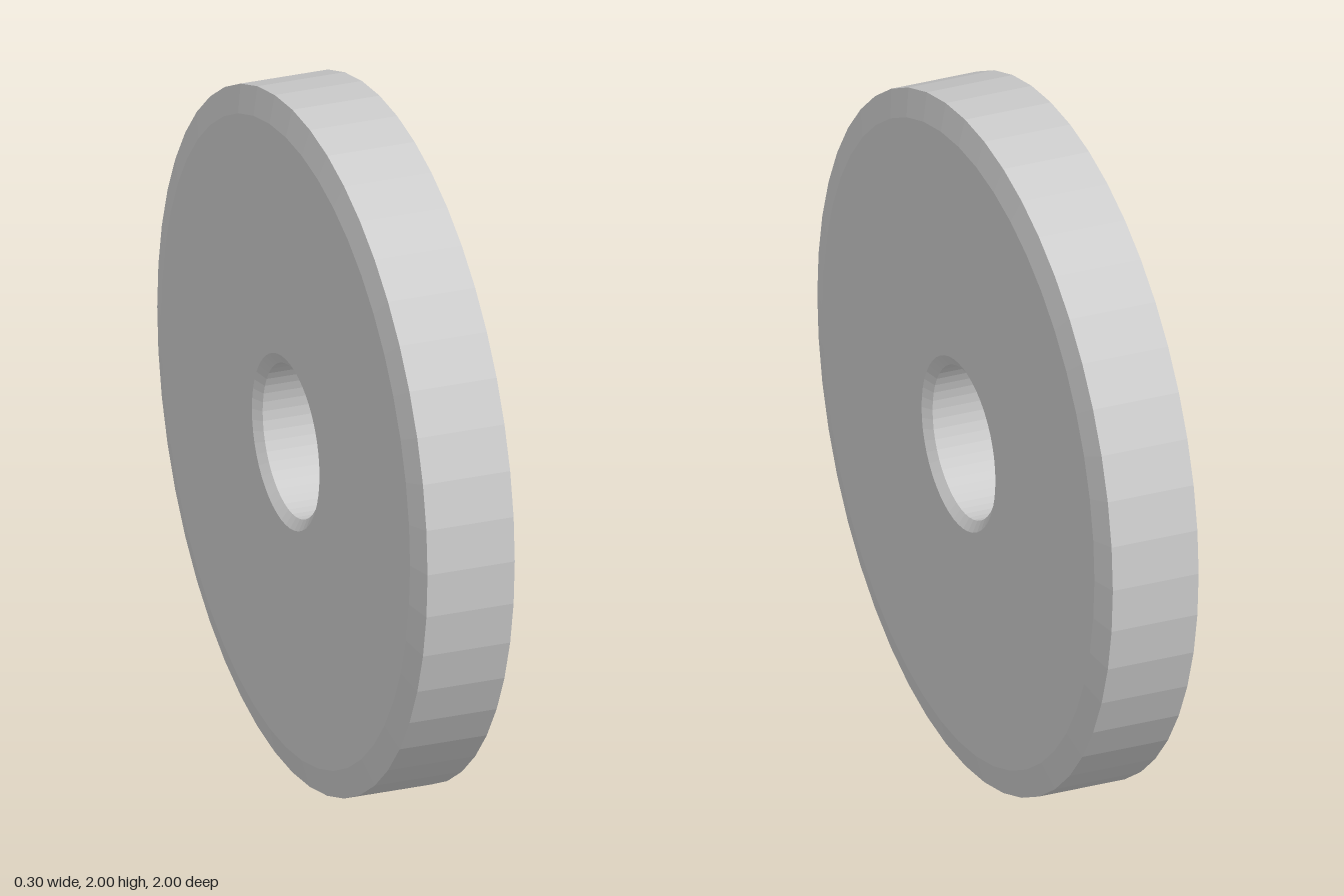
import * as THREE from 'three';

const SIDES = 48;
const HALF_WIDTH = 0.15; // half thickness at the flat faces
const HALF_RIM = 0.13;   // half thickness at the chamfer edges

export function createModel() {
  const model = new THREE.Group();
  model.name = 'wheelDisc';

  // Closed cross-section: [radius, axial position], chamfered at rim and bore
  const profile = [
    [0.22, -HALF_RIM],
    [0.25, -HALF_WIDTH],
    [0.92, -HALF_WIDTH],
    [1.0, -HALF_RIM],
    [1.0, HALF_RIM],
    [0.92, HALF_WIDTH],
    [0.25, HALF_WIDTH],
    [0.22, HALF_RIM],
    [0.22, -HALF_RIM],
  ].map(([r, a]) => new THREE.Vector2(r, a));

  // Disc with a central bore, turned so its axle lies along x
  const geometry = new THREE.LatheGeometry(profile, SIDES);
  geometry.rotateZ(-Math.PI / 2);
  geometry.translate(0, 1, 0);

  const material = new THREE.MeshStandardMaterial({ color: 0xcccccc, flatShading: true });
  const disc = new THREE.Mesh(geometry, material);
  disc.name = 'chamferedDisc';
  model.add(disc);

  return model;
}
